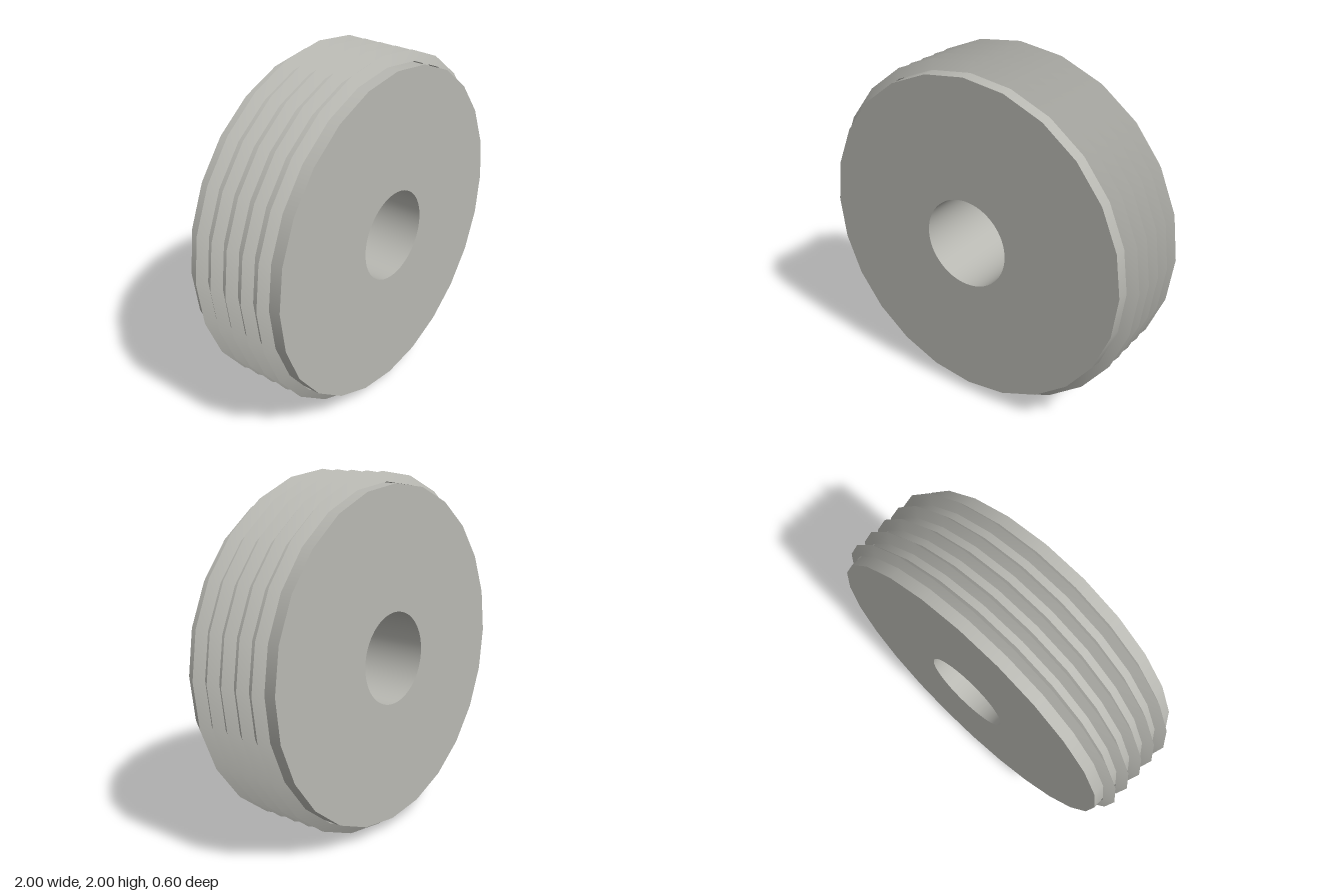
import * as THREE from 'three';
import { toCreasedNormals } from 'three/addons/utils/BufferGeometryUtils.js';

const RIM = 0.94, BORE = 0.257, HALF = 0.298, SIDES = 24, BORE_SIDES = 64;

export function createModel() {
  const model = new THREE.Group();
  model.name = 'ridgedWheel';
  const metal = new THREE.MeshStandardMaterial({ color: 0xb8b8b2 });
  metal.name = 'warm grey metal';

  const add = (name, geometry, parent = model) => {
    const mesh = new THREE.Mesh(geometry, metal);
    mesh.name = name;
    parent.add(mesh);
    return mesh;
  };

  // Wheel body: smooth outer wall and inward-facing bore
  const wheel = new THREE.Group();
  wheel.name = 'wheelBody';
  wheel.position.y = 1;
  model.add(wheel);

  const wall = (radius, sides) =>
    new THREE.CylinderGeometry(radius, radius, HALF * 2, sides, 1, true).rotateX(Math.PI / 2);
  add('outerWall', wall(RIM, SIDES), wheel);

  const bore = wall(BORE, BORE_SIDES);
  bore.scale(-1, 1, 1); // mirrored so that the faces turn inwards
  const normals = bore.attributes.normal;
  for (let i = 0; i < normals.count; i++) {
    normals.setXYZ(i, -normals.getX(i), -normals.getY(i), -normals.getZ(i));
  }
  add('bore', bore, wheel);

  // Front and back faces with the round hole
  const circle = (radius, sides) => Array.from({ length: sides }, (_, i) => {
    const a = (i / sides) * Math.PI * 2;
    return new THREE.Vector2(Math.cos(a) * radius, Math.sin(a) * radius);
  });
  const disc = new THREE.Shape(circle(RIM, SIDES));
  disc.holes.push(new THREE.Path(circle(BORE, BORE_SIDES).reverse()));
  const face = new THREE.ShapeGeometry(disc);
  add('frontFace', face, wheel).position.z = HALF;
  const back = add('backFace', face, wheel);
  back.position.z = -HALF;
  back.rotation.y = Math.PI;

  // Five triangular-section rings standing just clear of the wall
  const tube = 0.036;
  const ring = toCreasedNormals(new THREE.TorusGeometry(1 - tube, tube, 3, SIDES), Math.PI / 6);
  for (let i = -2; i <= 2; i++) {
    add('ridgeRing' + (i + 3), ring, wheel).position.z = i * 0.102;
  }

  return model;
}
